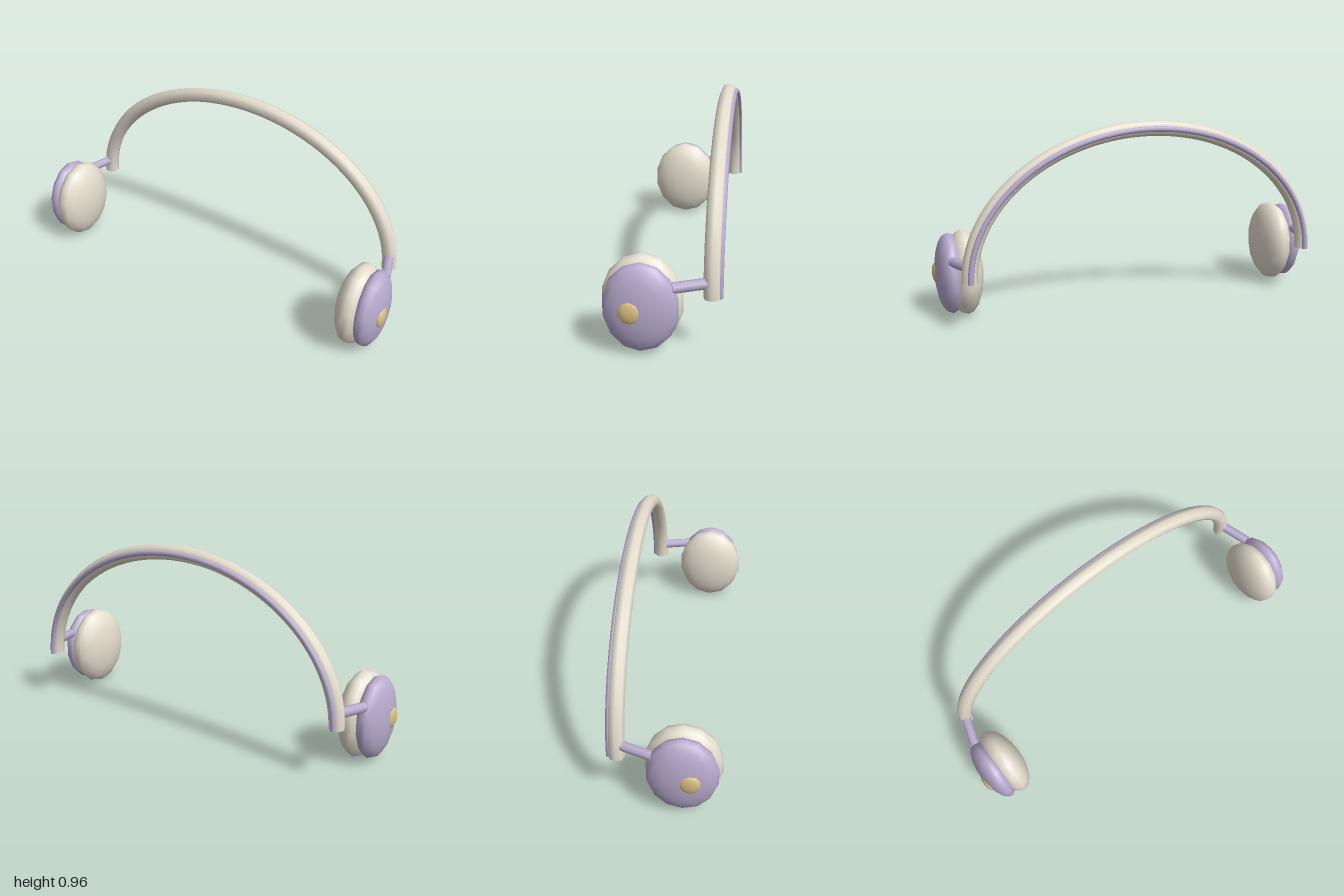
import * as THREE from 'three';

const material = (color) => new THREE.MeshStandardMaterial({ color });
const cream = material(0xe6dfd0);
const purple = material(0xb9accf);
const gold = material(0xd8c083);

// Half-ellipse arch, rising from the ends at y = 0.25
class ArchCurve extends THREE.Curve {
  constructor(z) {
    super();
    this.z = z;
  }
  getPoint(t, target = new THREE.Vector3()) {
    const a = Math.PI * t;
    return target.set(0.872 * Math.cos(a), 0.252 + 0.67 * Math.sin(a), this.z);
  }
}

function add(parent, name, geometry, mat) {
  const mesh = new THREE.Mesh(geometry, mat);
  mesh.name = name;
  parent.add(mesh);
  return mesh;
}

// Tube along the arch with closed ends
function arch(parent, name, z, radius, sides, mat) {
  const group = new THREE.Group();
  group.name = name;
  add(group, name + 'Tube', new THREE.TubeGeometry(new ArchCurve(z), 64, radius, sides), mat);
  for (const s of [-1, 1]) {
    const cap = add(group, name + 'End', new THREE.CircleGeometry(radius, sides), mat);
    cap.rotation.x = Math.PI / 2;
    cap.position.set(s * 0.872, 0.252, z);
  }
  parent.add(group);
}

// Ellipsoid whose poles lie along x
function pad(parent, name, sides, rings, position, radii, mat) {
  const geometry = new THREE.SphereGeometry(1, sides, rings);
  geometry.rotateZ(-Math.PI / 2);
  if (sides === 14) geometry.rotateX(Math.PI / 2);
  // Put a corner of the outline at the top
  geometry.computeBoundingBox();
  if (sides === 14 && geometry.boundingBox.max.y < 0.99) geometry.rotateX(Math.PI / 2);
  geometry.scale(...radii);
  add(parent, name, geometry, mat).position.set(...position);
}

// Straight rod between two points
function rod(parent, name, from, to, radius, mat) {
  const a = new THREE.Vector3(...from);
  const b = new THREE.Vector3(...to);
  const dir = b.clone().sub(a);
  const mesh = add(parent, name, new THREE.CylinderGeometry(radius, radius, dir.length(), 8), mat);
  mesh.position.copy(a).add(b).multiplyScalar(0.5);
  mesh.quaternion.setFromUnitVectors(new THREE.Vector3(0, 1, 0), dir.normalize());
}

export function createModel() {
  const model = new THREE.Group();
  model.name = 'headphones';

  // Headband and the thin trim along its back
  arch(model, 'headband', -0.211, 0.0375, 8, cream);
  arch(model, 'headbandTrim', -0.2445, 0.0135, 8, purple);

  // Ear cups with their arms, mirrored left and right
  for (const s of [1, -1]) {
    const cup = new THREE.Group();
    cup.name = s > 0 ? 'leftEarCup' : 'rightEarCup';
    pad(cup, 'cushion', 14, 10, [s * 0.849, 0.218, 0.087], [0.089, 0.215, 0.179], cream);
    pad(cup, 'shell', 14, 10, [s * 0.92, 0.218, 0.086], [0.071, 0.203, 0.165], purple);
    pad(cup, 'button', 10, 8, [s * 0.98, 0.218, 0.122], [0.02, 0.053, 0.051], gold);
    rod(cup, 'arm', [s * 0.868, 0.32, -0.21], [s * 0.92, 0.311, -0.047], 0.024, purple);
    model.add(cup);
  }
  return model;
}
